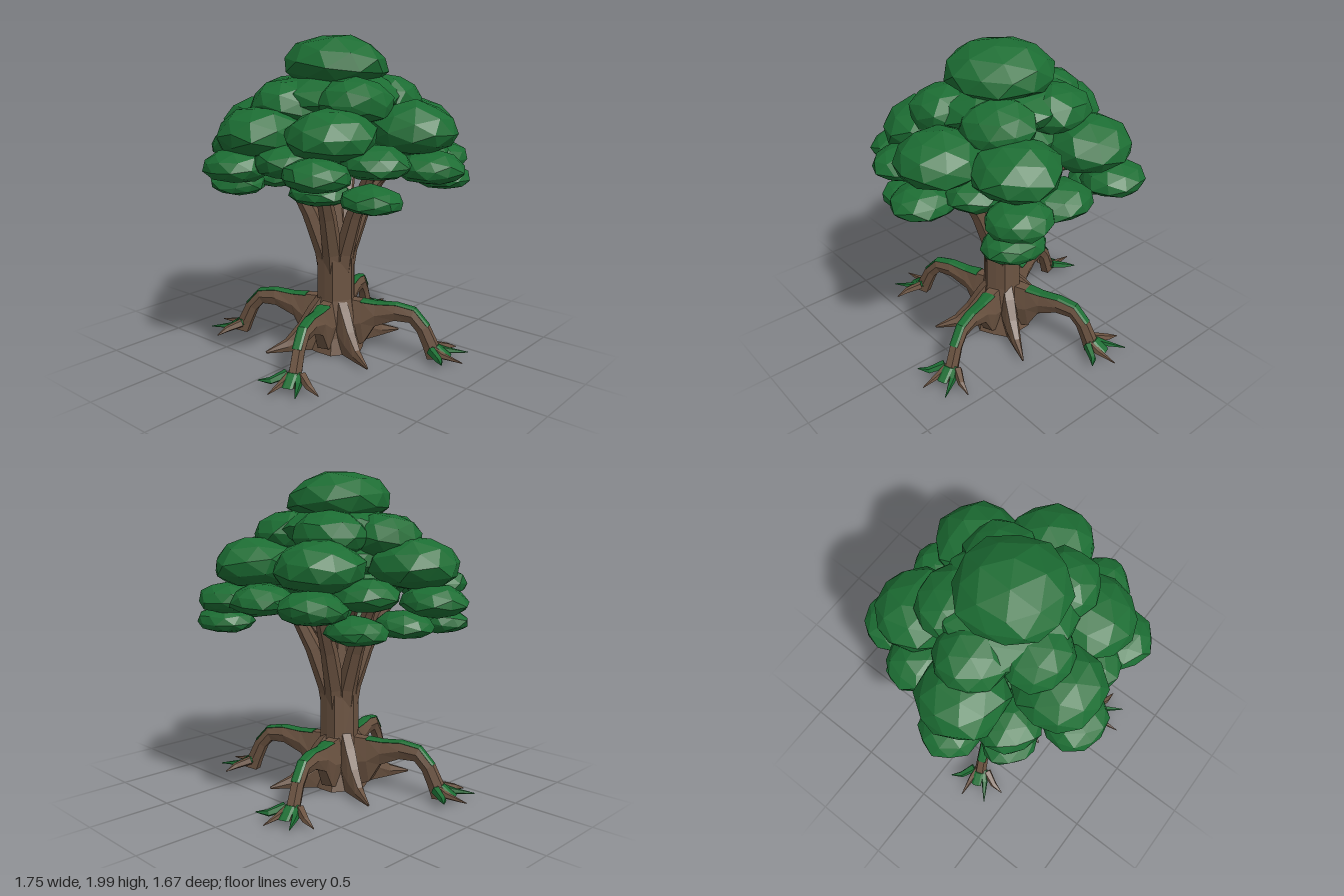
import * as THREE from 'three';

const bark = new THREE.MeshStandardMaterial({ color: 0x6b5341 });
bark.name = 'bark brown';
const leaf = new THREE.MeshStandardMaterial({ color: 0x1c6d33 });
leaf.name = 'leaf green';

const V = (x, y, z) => new THREE.Vector3(x, y, z);
const rad = THREE.MathUtils.degToRad;

// Flat-faced solid skinned over a row of rings, capped at both ends
function loft(rings) {
  const pos = [];
  const tri = (...pts) => pts.forEach(p => pos.push(p.x, p.y, p.z));
  const n = rings[0].length;
  const mid = ring => ring.reduce((s, p) => s.add(p), V(0, 0, 0)).divideScalar(n);
  const first = rings[0], last = rings[rings.length - 1];
  const c0 = mid(first), c1 = mid(last);
  for (let i = 0; i < n; i++) {
    const k = (i + 1) % n;
    for (let j = 0; j + 1 < rings.length; j++) {
      const a = rings[j], b = rings[j + 1];
      tri(a[i], a[k], b[k]);
      tri(a[i], b[k], b[i]);
    }
    tri(c0, first[k], first[i]);
    tri(c1, last[i], last[k]);
  }
  const g = new THREE.BufferGeometry();
  g.setAttribute('position', new THREE.Float32BufferAttribute(pos, 3));
  g.computeVertexNormals();
  return g;
}

// Tapered faceted limb through a list of points
function limb(points, radii, sides = 6) {
  const end = points.length - 1;
  const span = points[end].clone().sub(points[0]);
  const side = V(span.z, 0, -span.x).normalize();
  return loft(points.map((p, j) => {
    const d = points[Math.min(j + 1, end)].clone().sub(points[Math.max(j - 1, 0)]).normalize();
    const u = side.clone().cross(d).normalize();
    const v = d.clone().cross(u);
    return Array.from({ length: sides }, (_, i) => {
      const a = i / sides * Math.PI * 2;
      return p.clone().addScaledVector(u, Math.cos(a) * radii[j]).addScaledVector(v, Math.sin(a) * radii[j]);
    });
  }));
}

// Root running along +z; stations are [outerZ, outerY, innerZ, innerY, halfWidth]
function root(stations) {
  return loft(stations.map(([oz, oy, iz, iy, w]) => [
    V(w * 0.55, oy, oz), V(-w * 0.55, oy, oz),
    V(-w, (oy + iy) / 2, (oz + iz) / 2),
    V(-w * 0.6, iy, iz), V(w * 0.6, iy, iz),
    V(w, (oy + iy) / 2, (oz + iz) / 2),
  ]));
}

// Thin moss layer over the outer edge of a root
function mossOver(stations) {
  return root(stations.map(([oz, oy, iz, iy, w]) => {
    const dz = oz - iz, dy = oy - iy, l = Math.hypot(dz, dy);
    return [oz + dz / l * 0.005, oy + dy / l * 0.005,
      oz - dz / l * 0.012, oy - dy / l * 0.012, w * 0.78];
  }));
}

// Irregular faceted leaf clump with a flattened underside
function clump([x, y, z], [rx, ry, rz], seed) {
  const g = new THREE.IcosahedronGeometry(1, 1);
  g.rotateX(seed * 1.3).rotateY(seed * 2.1);
  const p = g.attributes.position;
  for (let i = 0; i < p.count; i++) {
    const a = p.getX(i), b = p.getY(i), c = p.getZ(i);
    const k = 1.03 + 0.06 * Math.sin(a * 5 + seed * 3 + b * 4) * Math.cos(c * 4 - seed);
    p.setXYZ(i, x + a * k * rx, y + b * k * ry * (b < 0 ? 0.75 : 1.05), z + c * k * rz);
  }
  g.computeVertexNormals();
  return g;
}

const ARCH = [
  [0.06, 0.335, 0.06, 0.0, 0.07], [0.19, 0.33, 0.21, 0.05, 0.06],
  [0.29, 0.325, 0.28, 0.17, 0.048], [0.42, 0.335, 0.41, 0.225, 0.043],
  [0.54, 0.315, 0.51, 0.225, 0.04], [0.63, 0.215, 0.56, 0.17, 0.038],
  [0.69, 0.095, 0.60, 0.08, 0.04], [0.77, 0.035, 0.63, 0.0, 0.045],
];
const BUTTRESS = [
  [0.10, 0.36, 0.08, 0.0, 0.05], [0.17, 0.28, 0.16, 0.0, 0.055],
  [0.25, 0.17, 0.24, 0.005, 0.045], [0.34, 0.085, 0.34, 0.01, 0.03],
  [0.48, 0.03, 0.475, 0.018, 0.006],
];

// Toes at the end of each arched root: angle, reach, height, material
const TOES = [[-5, 0.865, 0.03, bark], [6, 0.87, 0.035, leaf], [-14, 0.78, 0.05, leaf], [14, 0.79, 0.02, bark]];

// Canopy tiers: one clump size each, with the clump centres
const TIERS = [
  { name: 'crown', size: [0.32, 0.178, 0.32], at: [[0.02, 1.81, 0.01]] },
  { name: 'core', size: [0.42, 0.16, 0.4], at: [[0, 1.62, 0], [0, 1.45, 0], [0, 1.31, 0]] },
  { name: 'upperTier', size: [0.23, 0.15, 0.22], at: [
    [-0.12, 1.58, 0.28], [0.29, 1.6, 0.16], [-0.34, 1.59, 0.02], [-0.17, 1.6, -0.25], [0.22, 1.6, -0.22]] },
  { name: 'middleTier', size: [0.265, 0.17, 0.26], at: [
    [-0.15, 1.41, 0.48], [0.3, 1.42, 0.38], [0.53, 1.44, -0.08],
    [-0.52, 1.43, 0.08], [-0.27, 1.42, -0.44], [0.28, 1.42, -0.44]] },
  { name: 'lowerTier', size: [0.2, 0.105, 0.185], at: [
    [-0.2, 1.24, 0.64], [0.36, 1.24, 0.57], [0.66, 1.23, -0.09], [-0.66, 1.23, 0.1],
    [-0.46, 1.31, 0.36], [0.54, 1.29, 0.28], [-0.48, 1.28, -0.29], [0.09, 1.28, 0.52],
    [-0.36, 1.22, -0.58], [0.38, 1.22, -0.58], [0.08, 1.23, -0.57], [0.42, 1.28, -0.28]] },
  { name: 'lowestTier', size: [0.19, 0.09, 0.165], at: [
    [-0.48, 1.075, 0.38], [-0.47, 1.08, 0.05], [0.14, 1.08, 0.3],
    [0.5, 1.075, 0.27], [-0.47, 1.085, -0.35], [0.42, 1.085, -0.58]] },
];

export function createModel() {
  const model = new THREE.Group();
  model.name = 'tree';
  const add = (parent, name, geometry, material) => {
    const m = new THREE.Mesh(geometry, material);
    m.name = name;
    parent.add(m);
  };
  const group = (name, turn = 0) => {
    const g = new THREE.Group();
    g.name = name;
    g.rotation.y = rad(turn);
    model.add(g);
    return g;
  };

  // Fluted trunk, flared at the foot
  const trunk = [[0, 0.19], [0.1, 0.16], [0.34, 0.122], [0.62, 0.12], [0.74, 0.1]].map(([y, r]) =>
    Array.from({ length: 12 }, (_, i) => {
      const a = -i / 12 * Math.PI * 2, q = r * (i % 2 ? 0.93 : 1.04);
      return V(0.014 + Math.cos(a) * q, y, Math.sin(a) * q);
    }));
  add(model, 'trunk', loft(trunk), bark);

  // Four arched roots with moss and toes, four low buttress roots between
  for (let k = 0; k < 4; k++) {
    const arch = group('archedRoot', 20 + k * 90);
    add(arch, 'rootArch', root(ARCH), bark);
    add(arch, 'rootMoss', mossOver(ARCH.slice(1, 6)), leaf);
    add(arch, 'footMoss', mossOver(ARCH.slice(6)), leaf);
    for (const [deg, reach, y, material] of TOES) {
      const s = Math.sin(rad(deg)), c = Math.cos(rad(deg));
      const toe = [V(s * 0.2, 0.07, 0.66), V(s * 0.5, 0.045, 0.73), V(s * reach, y, c * reach)];
      add(arch, 'rootToe', limb(toe, [0.03, 0.022, 0.003], 5), material);
    }
    add(group('buttressRoot', -25 + k * 90), 'rootSpike', root(BUTTRESS), bark);
  }

  // Spreading limbs, each with a thin side branch
  const polar = (deg, r, y) => V(0.014 + Math.sin(rad(deg)) * r, y, Math.cos(rad(deg)) * r);
  for (let i = 0; i < 6; i++) {
    const a = 22 + i * 60, t = a + (i % 2 ? 22 : -22);
    add(model, 'limb', limb(
      [polar(a, 0.06, 0.5), polar(a, 0.075, 0.65), polar(a, 0.165, 0.9), polar(a, 0.29, 1.15), polar(a, 0.42, 1.36)],
      [0.055, 0.064, 0.054, 0.04, 0.025]), bark);
    add(model, 'sideBranch', limb(
      [polar(a, 0.18, 0.95), polar(t, 0.29, 1.12), polar(t, 0.42, 1.25)], [0.034, 0.024, 0.014], 5), bark);
  }
  add(model, 'centreLimb', limb([V(0.01, 0.6, 0), V(0, 0.95, -0.01), V(0.02, 1.4, 0)], [0.08, 0.05, 0.04]), bark);

  // Canopy, tier by tier
  let seed = 0;
  for (const { name, size, at } of TIERS) {
    const tier = group(name);
    for (const centre of at) add(tier, 'leafClump', clump(centre, size, ++seed), leaf);
  }
  return model;
}
